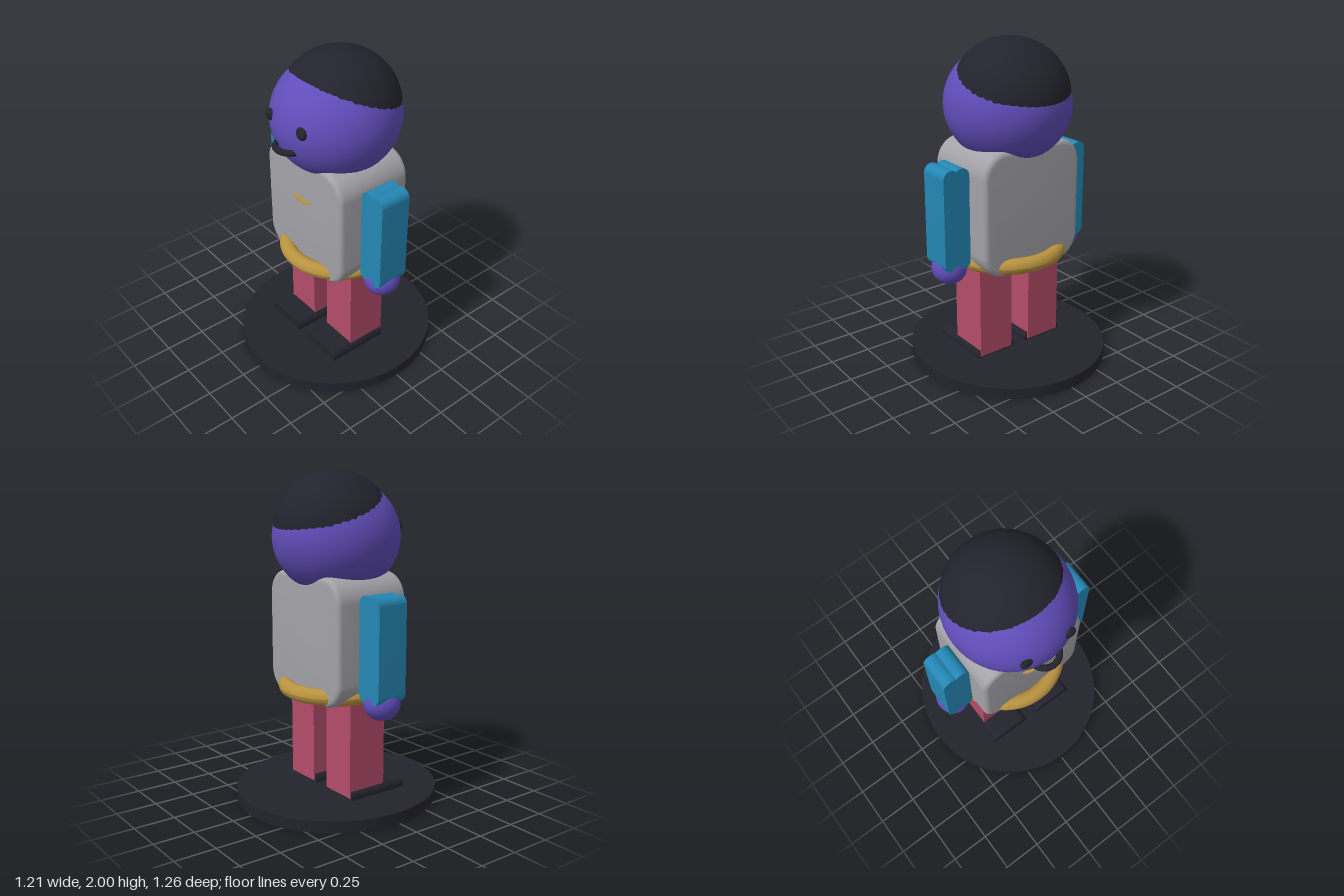
import * as THREE from 'three';
import { toCreasedNormals } from 'three/addons/utils/BufferGeometryUtils.js';

const paint = (name, color) => {
  const m = new THREE.MeshStandardMaterial({ color });
  m.name = name;
  return m;
};

// Rectangle with its top and bottom corners rounded; notch dips the middle of the top edge
function roundedShape(x0, y0, x1, y1, rBottom, rTop, notch = 0) {
  const s = new THREE.Shape();
  const xm = (x0 + x1) / 2;
  const h = Math.PI / 2;
  s.moveTo(x0 + rBottom, y0);
  s.lineTo(x1 - rBottom, y0);
  if (rBottom) s.absarc(x1 - rBottom, y0 + rBottom, rBottom, -h, 0, false);
  s.lineTo(x1, y1 - rTop);
  s.absarc(x1 - rTop, y1 - rTop, rTop, 0, h, false);
  if (notch) {
    s.lineTo(xm + 0.025, y1);
    s.lineTo(xm, y1 - notch);
    s.lineTo(xm - 0.025, y1);
  }
  s.lineTo(x0 + rTop, y1);
  s.absarc(x0 + rTop, y1 - rTop, rTop, h, 2 * h, false);
  s.lineTo(x0, y0 + rBottom);
  if (rBottom) s.absarc(x0 + rBottom, y0 + rBottom, rBottom, 2 * h, 3 * h, false);
  return s;
}

// Extrude a shape along z between z0 and z1, with an optional soft bevel
function extrude(shape, z0, z1, bevel = 0) {
  const g = new THREE.ExtrudeGeometry(shape, {
    depth: z1 - z0 - 2 * bevel,
    curveSegments: 10,
    bevelEnabled: bevel > 0,
    bevelThickness: bevel,
    bevelSize: bevel,
    bevelSegments: 4,
  });
  g.translate(0, 0, z0 + bevel);
  return toCreasedNormals(g, 0.6);
}

export function createModel() {
  const model = new THREE.Group();
  const purple = paint('purple skin', 0x604db9);
  const dark = paint('charcoal', 0x23232d);
  const grey = paint('grey shirt', 0xa3a2a7);
  const blue = paint('blue sleeve', 0x2487b4);
  const gold = paint('gold trim', 0xb8923f);
  const pink = paint('pink trousers', 0xb44b6a);

  const add = (name, geometry, material, x = 0, y = 0, z = 0) => {
    const mesh = new THREE.Mesh(geometry, material);
    mesh.name = name;
    mesh.position.set(x, y, z);
    model.add(mesh);
    return mesh;
  };
  const ball = (name, material, x, y, z, rx, ry, rz) =>
    add(name, new THREE.SphereGeometry(1, 48, 32).scale(rx, ry, rz), material, x, y, z);
  const ring = (name, material, y, z, rx, rz, tube) => {
    const g = new THREE.TorusGeometry(1, tube, 16, 64).rotateX(Math.PI / 2);
    // Scale the ring's path while keeping its tube thickness
    const p = g.attributes.position;
    for (let i = 0; i < p.count; i++) {
      const px = p.getX(i), pz = p.getZ(i), r = Math.hypot(px, pz);
      const c = px / r, s = pz / r, t = r - 1;
      p.setXYZ(i, c * (rx + t), p.getY(i), s * (rz + t));
    }
    g.computeVertexNormals();
    return add(name, g, material, 0, y, z);
  };

  // Stand
  add('base', new THREE.CylinderGeometry(1, 1, 0.07, 96).scale(0.605, 1, 0.628), dark, 0, 0.035, 0);

  // Head, hair and face
  ball('head', purple, 0, 1.61, 0, 0.374, 0.355, 0.387);
  ball('hair', dark, 0, 1.66, -0.025, 0.352, 0.34, 0.357);
  ring('mouth', dark, 1.52, 0.325, 0.085, 0.086, 0.019);

  // Torso with belt and a thin chest trim
  add('torso', extrude(roundedShape(-0.32, 0.67, 0.32, 1.375, 0.12, 0.12), -0.25, 0.25, 0.03), grey);
  ring('belt', gold, 0.7, 0, 0.317, 0.302, 0.048);
  add('chestTrim', new THREE.CylinderGeometry(1, 1, 0.004, 40).scale(0.08, 1, 0.03), gold, 0, 1.13, 0.25);

  // Paired parts
  for (const side of [-1, 1]) {
    const label = side > 0 ? 'left' : 'right';
    ball(label + 'Eye', dark, side * 0.142, 1.665, 0.353, 0.038, 0.038, 0.022);
    add(label + 'Arm', extrude(roundedShape(-0.0875, 0.69, 0.0875, 1.31, 0.05, 0.05, 0.012), -0.1, 0.1),
      blue, side * 0.437, 0, 0);
    ball(label + 'Hand', purple, side * 0.435, 0.68, 0, 0.104, 0.1, 0.11);
    add(label + 'Leg', new THREE.BoxGeometry(0.236, 0.58, 0.256), pink, side * 0.184, 0.37, 0.002);
    add(label + 'Shoe', extrude(roundedShape(-0.137, 0.065, 0.137, 0.13, 0, 0.045), -0.12, 0.277),
      dark, side * 0.182, 0, 0);
  }
  return model;
}
